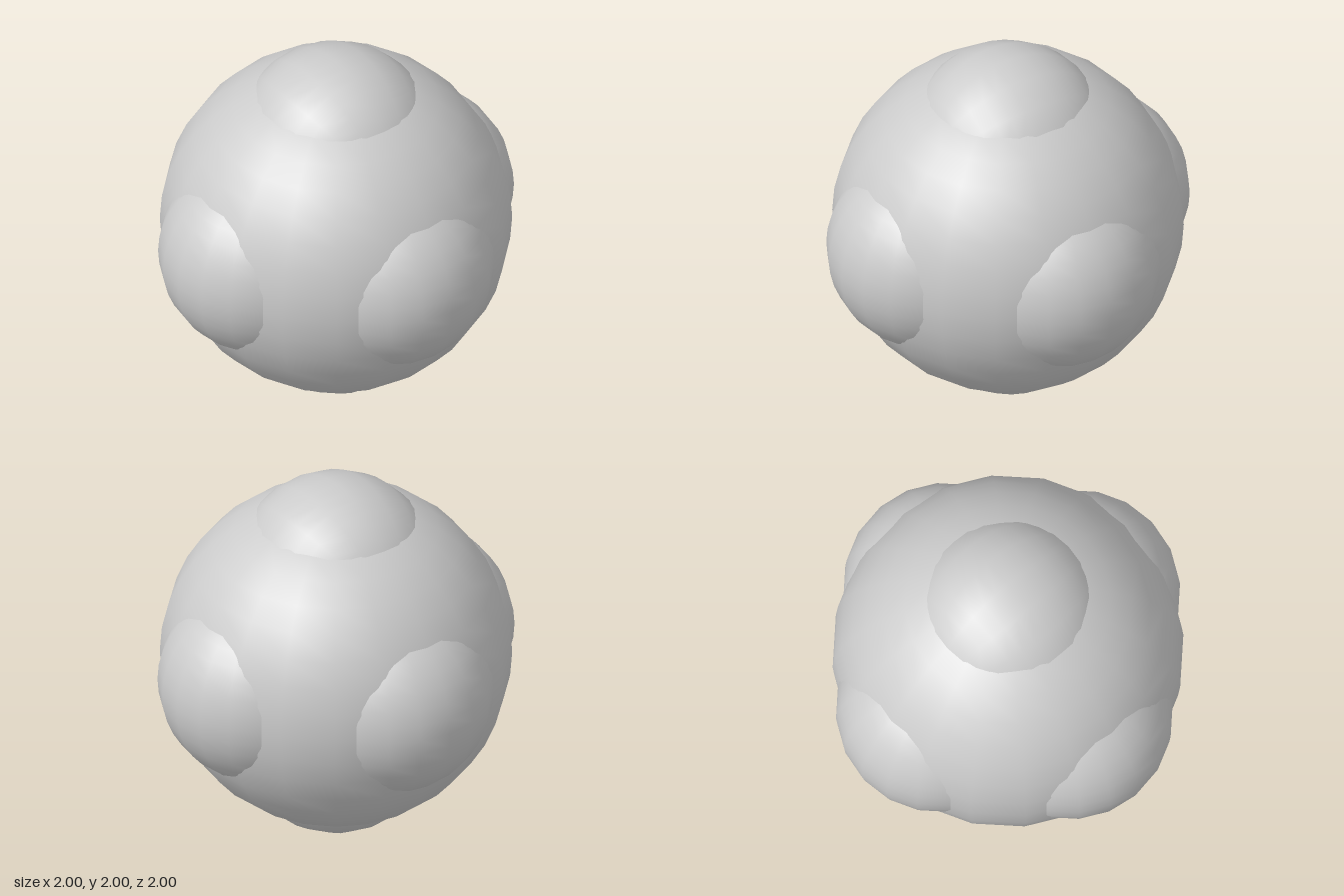
import * as THREE from 'three';

const CORE_RADIUS = 0.9;
const BUMP_RADIUS = 0.53;
const SEGMENTS = 20;

export function createModel() {
  const group = new THREE.Group();
  group.name = 'bumpedBall';
  const material = new THREE.MeshStandardMaterial({ color: 0xcccccc });

  const addBall = (name, radius, x, y, z) => {
    const ball = new THREE.Mesh(new THREE.SphereGeometry(radius, SEGMENTS, SEGMENTS), material);
    ball.name = name;
    ball.position.set(x, y + 1, z);
    group.add(ball);
    return ball;
  };

  // Large central ball
  addBall('core', CORE_RADIUS, 0, 0, 0);

  // One smaller ball sunk into the core on each side of every axis
  const offset = 1 - BUMP_RADIUS;
  for (const side of [1, -1]) {
    const d = side * offset;
    addBall(side > 0 ? 'leftBump' : 'rightBump', BUMP_RADIUS, d, 0, 0);
    addBall(side > 0 ? 'frontBump' : 'backBump', BUMP_RADIUS, 0, 0, d);
    // Upper and lower bumps have their poles along z
    addBall(side > 0 ? 'topBump' : 'bottomBump', BUMP_RADIUS, 0, d, 0).rotation.x = -side * Math.PI / 2;
  }

  return group;
}
